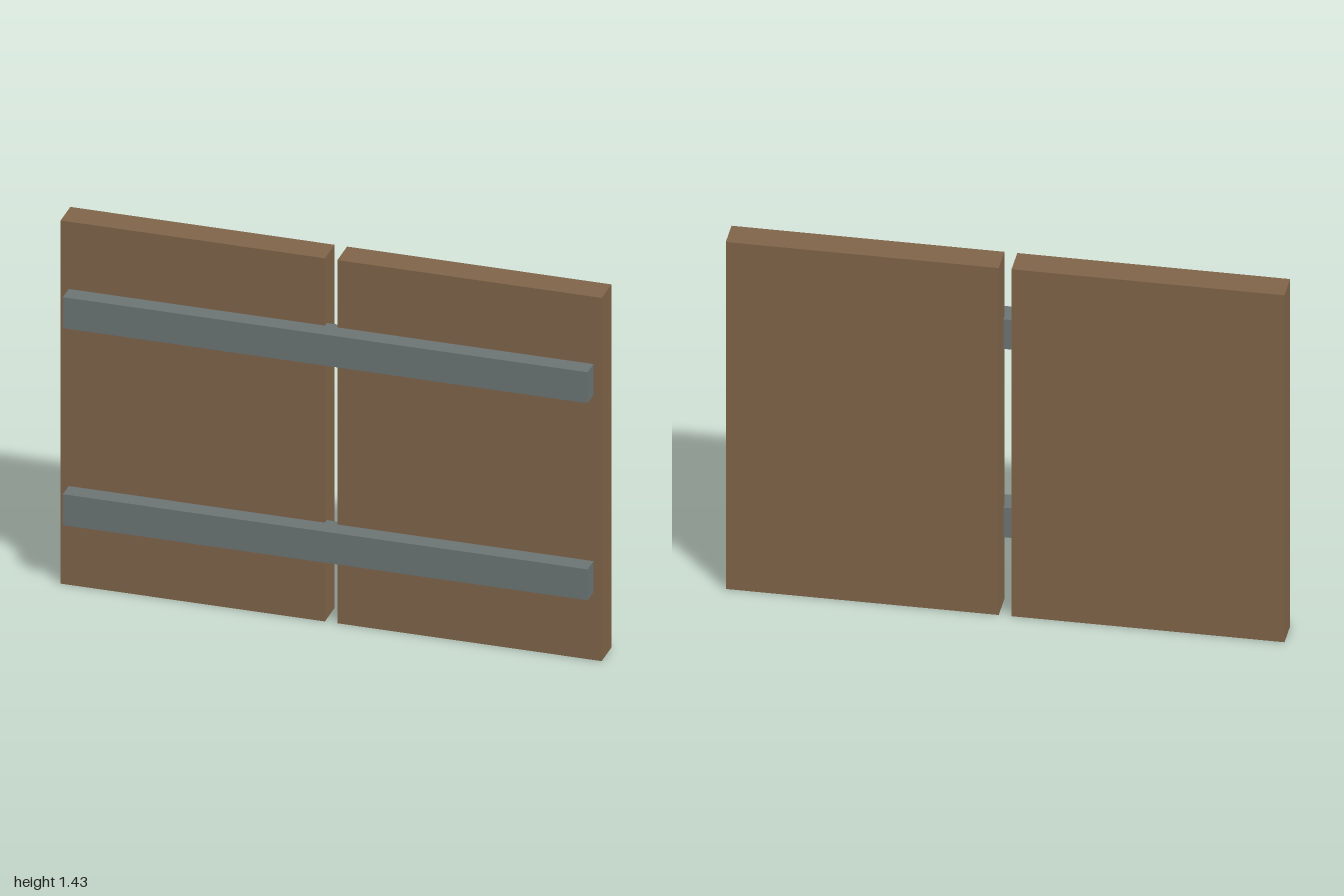
import * as THREE from 'three';

const wood = new THREE.MeshStandardMaterial({ name: 'brown wood', color: 0x7f6449 });
const metal = new THREE.MeshStandardMaterial({ name: 'grey metal', color: 0x6c7474 });

// Box given by its lower and upper corners
function block(name, material, min, max) {
  const size = max.map((v, i) => v - min[i]);
  const mesh = new THREE.Mesh(new THREE.BoxGeometry(...size), material);
  mesh.position.set(...max.map((v, i) => (v + min[i]) / 2));
  mesh.name = name;
  return mesh;
}

export function createModel() {
  const model = new THREE.Group();
  model.name = 'shutteredPanel';

  // Two wooden leaves with a narrow gap between them
  model.add(block('rightPanel', wood, [-1, 0, -0.09], [-0.023, 1.43, 0.022]));
  model.add(block('leftPanel', wood, [0.023, 0, -0.09], [1, 1.43, 0.022]));

  // Metal bars across the front, sunk slightly into the wood
  for (const [name, y] of [['lowerBar', 0.328], ['upperBar', 1.104]]) {
    model.add(block(name, metal, [-0.97, y - 0.061, 0], [0.97, y + 0.061, 0.09]));
  }
  return model;
}
